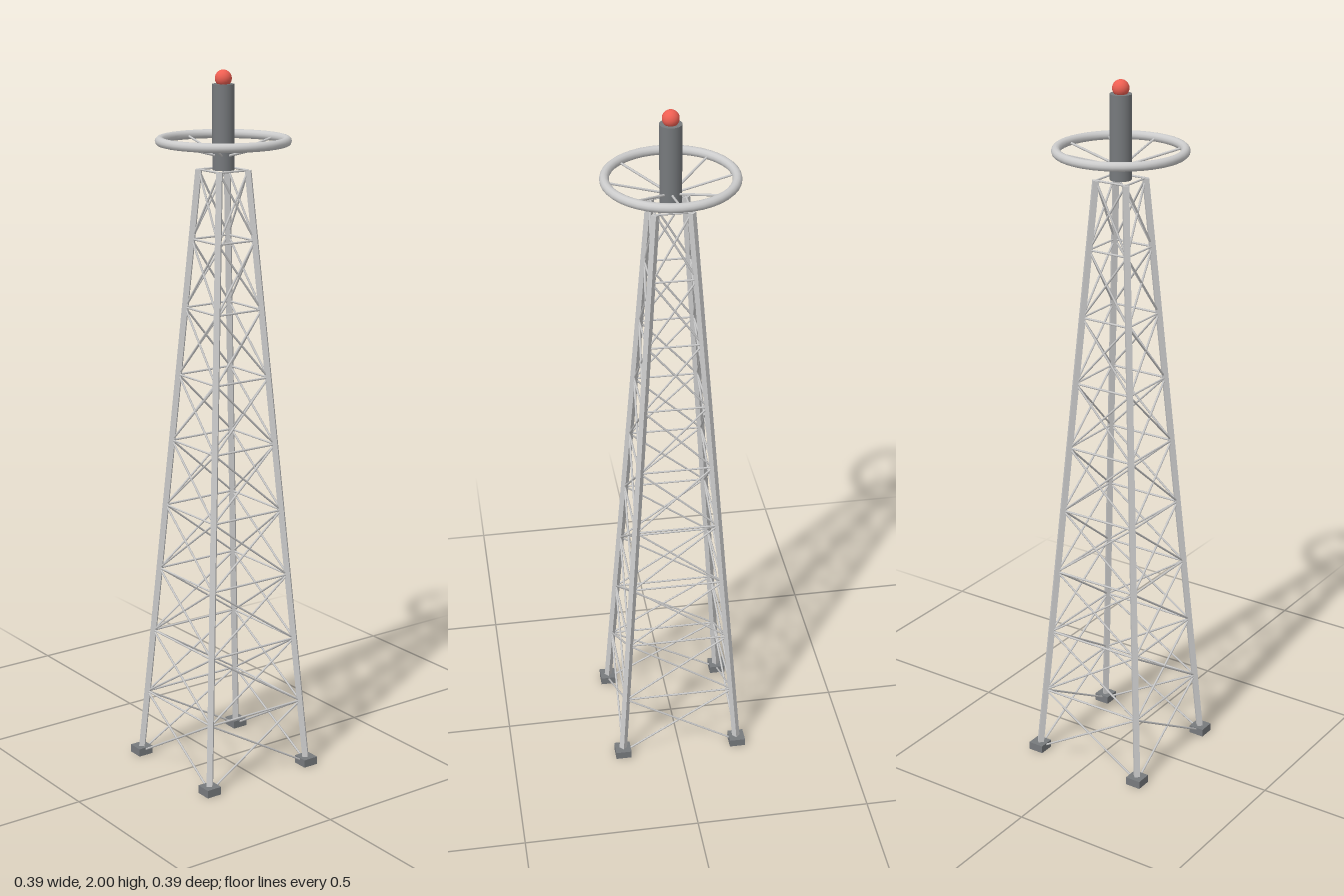
import * as THREE from 'three';

const BAYS = 9, BASE_Y = 0.005, TOP_Y = 1.731, BASE_HALF = 0.173, TOP_HALF = 0.048;

const material = (color, flatShading = false) => new THREE.MeshStandardMaterial({ color, flatShading });

export function createModel() {
  const tower = new THREE.Group();
  tower.name = 'latticeTower';
  const steel = material(0xcccccc), flatSteel = material(0xcccccc, true);
  const dark = material(0x777a7d), red = material(0xee5f52);

  const add = (parent, name, geometry, mat, x = 0, y = 0, z = 0) => {
    const mesh = new THREE.Mesh(geometry, mat);
    mesh.name = name;
    mesh.position.set(x, y, z);
    parent.add(mesh);
    return mesh;
  };

  // Straight bar between two points
  const up = new THREE.Vector3(0, 1, 0);
  const bar = (parent, name, a, b, radius, sides, mat = steel) => {
    const dir = b.clone().sub(a);
    const mesh = add(parent, name, new THREE.CylinderGeometry(radius, radius, dir.length(), sides), mat);
    mesh.position.copy(a).lerp(b, 0.5);
    mesh.quaternion.setFromUnitVectors(up, dir.normalize());
  };

  // Point on one of the four tapering legs at a bay level
  const signs = [[1, 1], [1, -1], [-1, -1], [-1, 1]];
  const corner = (i, level) => {
    const t = level / BAYS, half = THREE.MathUtils.lerp(BASE_HALF, TOP_HALF, t);
    const [sx, sz] = signs[i % 4];
    return new THREE.Vector3(sx * half, THREE.MathUtils.lerp(BASE_Y, TOP_Y, t), sz * half);
  };

  // Square legs set cornerwise, footings and the bracing of each face
  for (let i = 0; i < 4; i++) {
    const [sx, sz] = signs[i];
    add(tower, 'footing', new THREE.BoxGeometry(0.046, 0.023, 0.046), dark, sx * BASE_HALF, 0.0115, sz * BASE_HALF);
    bar(tower, 'leg', corner(i, 0), corner(i, BAYS), 0.0115, 4, flatSteel);

    const face = new THREE.Group();
    face.name = 'faceBracing';
    tower.add(face);
    for (let k = 0; k < BAYS; k++) {
      bar(face, 'crossBrace', corner(i, k), corner(i + 1, k + 1), 0.003, 6);
      bar(face, 'crossBrace', corner(i + 1, k), corner(i, k + 1), 0.003, 6);
      bar(face, 'horizontalBrace', corner(i, k + 1), corner(i + 1, k + 1), 0.003, 6);
    }
  }

  // Mast and warning light
  add(tower, 'mast', new THREE.CylinderGeometry(0.03, 0.03, 0.231, 20), dark, 0, 1.8465, 0);
  add(tower, 'warningLight', new THREE.SphereGeometry(0.023, 20, 14), red, 0, 1.977, 0);

  // Ring on sloping spokes
  const crown = new THREE.Group();
  crown.name = 'crown';
  tower.add(crown);
  const ring = add(crown, 'ring', new THREE.TorusGeometry(0.173, 0.0127, 12, 40), steel, 0, 1.81, 0);
  ring.rotation.x = Math.PI / 2;
  for (let i = 0; i < 8; i++) {
    const a = i * Math.PI / 4, c = Math.cos(a), s = Math.sin(a);
    bar(crown, 'spoke', new THREE.Vector3(0.02 * c, 1.77, 0.02 * s), new THREE.Vector3(0.173 * c, 1.81, 0.173 * s), 0.0034, 6);
  }
  return tower;
}
